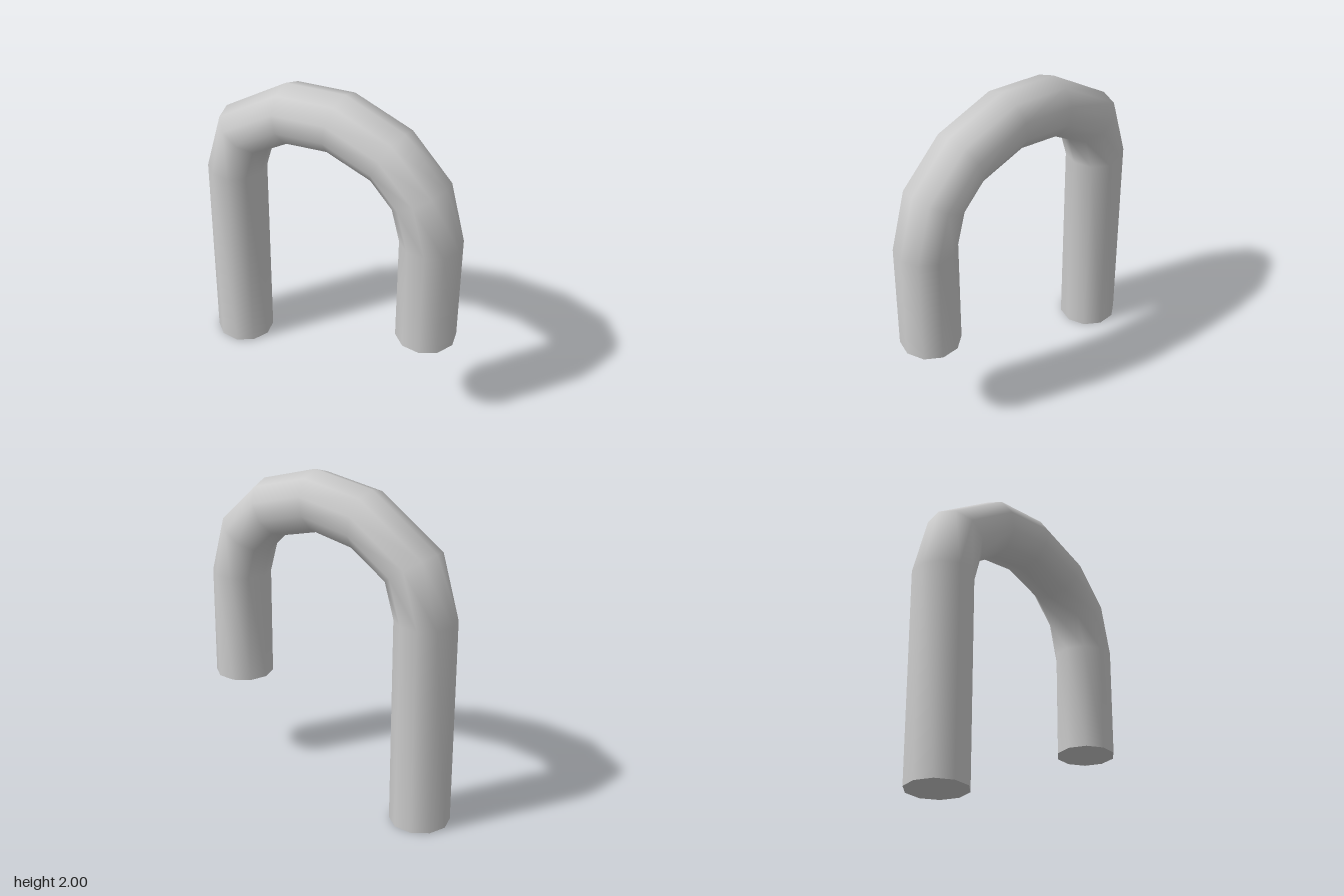
import * as THREE from 'three';

const SIDES = 10;
const RADIUS = 0.181;

// Each station of the bend: outer x, outer y, inner x, inner y
const STATIONS = [
  [-0.872, 0, -0.51, 0],
  [-0.872, 1.265, -0.51, 1.265],
  [-0.75, 1.66, -0.452, 1.455],
  [-0.305, 1.948, -0.24, 1.59],
  [0.1, 2.0, 0.045, 1.637],
  [0.49, 1.885, 0.33, 1.56],
  [0.767, 1.63, 0.46, 1.437],
  [0.872, 1.265, 0.51, 1.265],
  [0.872, 0.587, 0.51, 0.587],
];

// Skin a ten-sided ring along the stations, mitred at each bend
function hookGeometry() {
  const positions = [];
  const index = [];
  STATIONS.forEach(([ox, oy, ix, iy], i) => {
    for (let j = 0; j < SIDES; j++) {
      const a = (j / SIDES) * Math.PI * 2;
      const t = (1 + Math.cos(a)) / 2;
      positions.push(ix + (ox - ix) * t, iy + (oy - iy) * t, Math.sin(a) * RADIUS);
      if (i === STATIONS.length - 1) continue;
      const p = i * SIDES + j;
      const q = i * SIDES + ((j + 1) % SIDES);
      index.push(p, q, p + SIDES, q, q + SIDES, p + SIDES);
    }
  });
  const geometry = new THREE.BufferGeometry();
  geometry.setAttribute('position', new THREE.Float32BufferAttribute(positions, 3));
  geometry.setIndex(index);
  geometry.computeVertexNormals();
  return geometry;
}

export function createModel() {
  const group = new THREE.Group();
  group.name = 'hookedTube';
  const material = new THREE.MeshStandardMaterial({ color: 0xcccccc });

  const tube = new THREE.Mesh(hookGeometry(), material);
  tube.name = 'bentTube';
  group.add(tube);

  // Flat downward caps closing both legs
  const ends = { longLegCap: STATIONS[0], shortLegCap: STATIONS[STATIONS.length - 1] };
  for (const [name, [ox, y, ix]] of Object.entries(ends)) {
    const cap = new THREE.Mesh(new THREE.CircleGeometry(RADIUS, SIDES), material);
    cap.name = name;
    cap.rotation.x = Math.PI / 2;
    cap.position.set((ox + ix) / 2, y, 0);
    group.add(cap);
  }
  return group;
}
